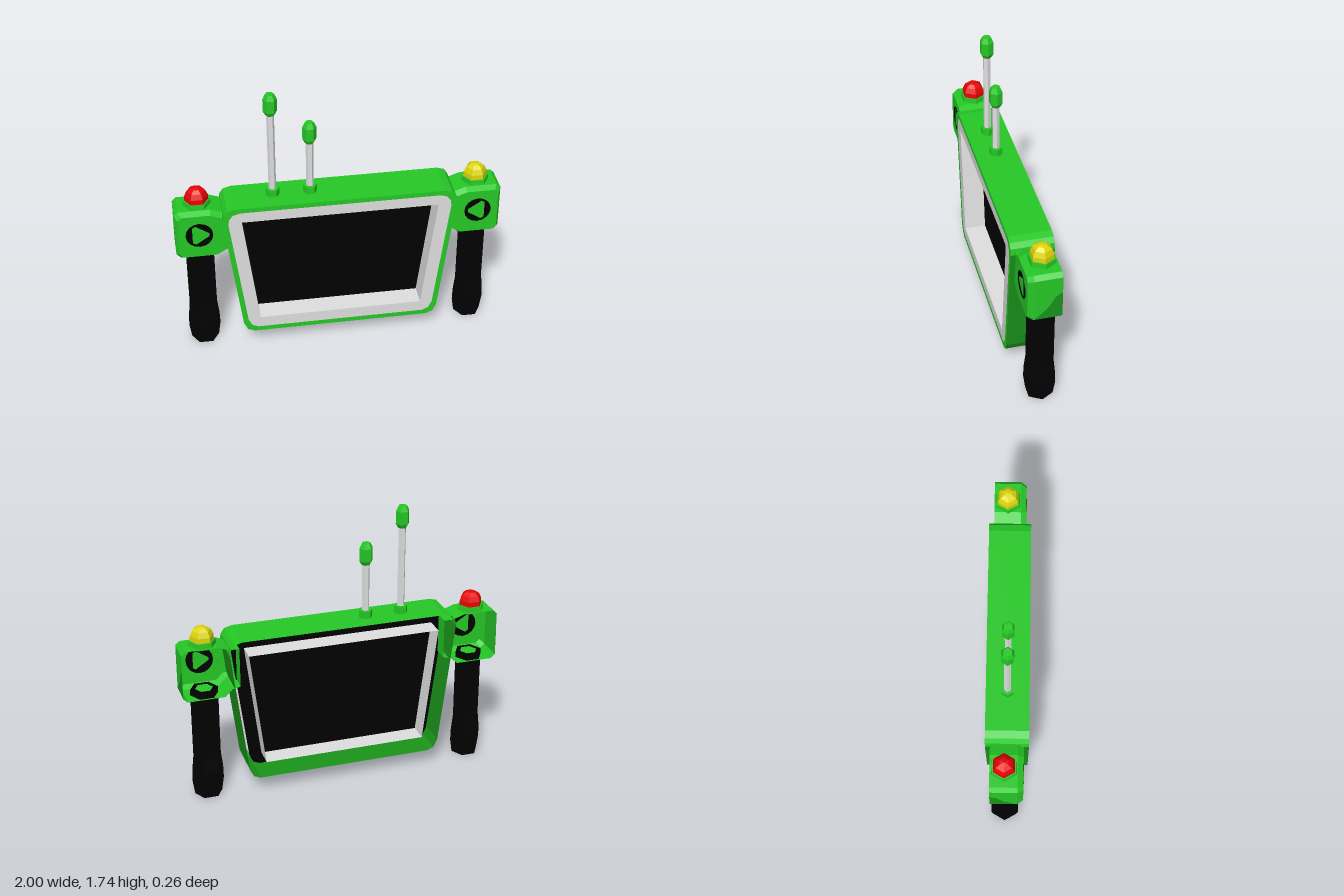
import * as THREE from 'three';

const mat = (name, color, side = THREE.FrontSide) => {
  const m = new THREE.MeshStandardMaterial({ color, side });
  m.name = name;
  return m;
};

// Faceted copy of a geometry
function facet(g) {
  const f = g.index ? g.toNonIndexed() : g;
  f.computeVertexNormals();
  return f;
}

// Skin between counterclockwise loops (or open strips) of [x, y, z], back to front
function loft(loops, { closed = true, capFront = false } = {}) {
  const p = [];
  const n = loops[0].length;
  for (let k = 0; k + 1 < loops.length; k++) {
    for (let i = 0; i < (closed ? n : n - 1); i++) {
      const j = (i + 1) % n, a = loops[k], b = loops[k + 1];
      p.push(...a[i], ...a[j], ...b[j], ...a[i], ...b[j], ...b[i]);
    }
  }
  if (capFront) {
    const l = loops[loops.length - 1];
    for (let i = 1; i + 1 < n; i++) p.push(...l[0], ...l[i], ...l[i + 1]);
  }
  const g = new THREE.BufferGeometry();
  g.setAttribute('position', new THREE.Float32BufferAttribute(p, 3));
  g.computeVertexNormals();
  return g;
}

// Six-sided turned part from [radius, y] points, with corners on the x axis
function hexTurn(points) {
  const g = new THREE.LatheGeometry(points.map(([r, y]) => new THREE.Vector2(r, y)), 6);
  return facet(g.rotateY(Math.PI / 6));
}

const atZ = (pts, z) => pts.map(([x, y]) => [x, y, z]);
const toShape = pts => new THREE.Shape(pts.map(([x, y]) => new THREE.Vector2(x, y)));
const toPath = pts => new THREE.Path(pts.map(([x, y]) => new THREE.Vector2(x, y)));

export function createModel() {
  const root = new THREE.Group();
  root.name = 'handheldConsole';
  const green = mat('green', 0x26c826, THREE.DoubleSide);
  const darkGreen = mat('dark green', 0x1a941a, THREE.DoubleSide);
  const black = mat('black', 0x010101, THREE.DoubleSide);
  const grey = mat('light grey', 0xdfdfdf, THREE.DoubleSide);
  const red = mat('red', 0xe80404);
  const yellow = mat('yellow', 0xdcd60a);

  const add = (parent, name, geo, material, x = 0, y = 0, z = 0) => {
    const m = new THREE.Mesh(geo, material);
    m.name = name;
    m.position.set(x, y, z);
    parent.add(m);
    return m;
  };

  // Rounded trapezoid outline, counterclockwise
  const half = [[0.55, 0.107], [0.592, 0.125], [0.616, 0.175], [0.715, 0.96], [0.708, 1.0],
    [0.685, 1.03], [0.64, 1.043]];
  const outline = [...half, ...half.map(([x, y]) => [-x, y]).reverse()];
  const inset = outline.map(([x, y]) => [x * 0.952, 0.575 + (y - 0.575) * 0.935]);
  const screenPts = [[0.51, 0.21], [0.6, 0.945], [-0.6, 0.945], [-0.51, 0.21]];

  // Thin case, open at the back: top, darker sides and bottom, flat front rim
  const topStrip = outline.slice(3, 11);
  const sideStrip = [...outline.slice(10), ...outline.slice(0, 4)];
  add(root, 'caseTop', loft([atZ(topStrip, -0.13), atZ(topStrip, 0.13)], { closed: false }), green);
  add(root, 'caseSides', loft([atZ(sideStrip, -0.13), atZ(sideStrip, 0.13)], { closed: false }), darkGreen);
  add(root, 'caseRim', loft([atZ(outline, 0.13), atZ(inset, 0.13)]), green);

  // Bezel, and the frame walls running from it through to the back
  const bezel = toShape(inset);
  bezel.holes.push(toPath(screenPts));
  add(root, 'bezel', new THREE.ShapeGeometry(bezel), grey, 0, 0, 0.13);
  add(root, 'screenFrame', loft([atZ(screenPts, -0.13), atZ(screenPts, 0.13)]), grey);

  // Black panel halfway through the case: the screen, seen from both sides
  add(root, 'screenPanel', new THREE.ShapeGeometry(toShape(inset)), black, 0, 0, -0.005);

  // Head outline of the left grip, from the inner end to the outer side
  const head = [[0.65, 0.74], [0.7, 0.73], [0.745, 0.685], [0.975, 0.685], [1, 0.71],
    [1, 0.99], [0.975, 1.015], [0.78, 1.015], [0.71, 0.99], [0.65, 0.99]];
  const headLoop = (s, z) => head.map(([x, y]) => [0.83 + (x - 0.83) * s, 0.855 + (y - 0.855) * s, z]);

  // Dark swept panel on the outer side of the head, as [-z, y]
  const sweep = toShape([[-0.065, 0.712], [0.1, 0.712], [0.1, 0.885], [0.06, 0.86], [0.02, 0.79], [-0.03, 0.74]]);
  const sweepGeo = new THREE.ShapeGeometry(sweep).rotateY(Math.PI / 2);

  // Rounded triangle opening of the button, pointing inwards
  const triangle = [[-0.06, -0.012], [0.022, -0.066], [0.042, -0.054], [0.042, 0.054],
    [0.022, 0.066], [-0.06, 0.012]];
  const buttonShape = new THREE.Shape().absarc(0, 0, 0.083, 0, Math.PI * 2);
  buttonShape.holes.push(toPath(triangle));
  const buttonGeo = new THREE.ExtrudeGeometry(buttonShape, { depth: 0.022, bevelEnabled: false, curveSegments: 8 });

  for (const side of [1, -1]) {
    const grip = new THREE.Group();
    grip.name = side > 0 ? 'leftGrip' : 'rightGrip';
    grip.scale.x = side;
    root.add(grip);

    // Head block, open at the back, with chamfered front edges
    const headLoops = [headLoop(1, -0.1), headLoop(1, 0.065), headLoop(0.88, 0.1)];
    add(grip, 'gripHead', loft(headLoops, { capFront: true }), green);
    add(grip, 'gripHeadSidePanel', sweepGeo, darkGreen, 1.001, 0, 0);

    // Handle with a flared foot
    add(grip, 'handle', hexTurn([[0, 0], [0.086, 0], [0.099, 0.09], [0.097, 0.17], [0.086, 0.27],
      [0.086, 0.72], [0, 0.72]]), black, 0.855, 0, -0.013);
    add(grip, 'handleCap', hexTurn([[0.055, 0], [0, 0.004]]), green, 0.855, 0.722, -0.013);

    // Round button whose opening shows the head behind it
    add(grip, 'button', buttonGeo, black, 0.855, 0.86, 0.08);

    // Signal lamp on a six-sided base
    add(grip, 'lampBase', hexTurn([[0.086, 0], [0.082, 0.04], [0, 0.04]]), green, 0.855, 1.005, -0.015);
    add(grip, 'lamp', hexTurn([[0.073, 0], [0.071, 0.033], [0.056, 0.065], [0.03, 0.083], [0, 0.089]]),
      side > 0 ? yellow : red, 0.855, 1.043, -0.015);
  }

  // Two antennas of different height
  for (const [x, top] of [[-0.397, 1.735], [-0.169, 1.525]]) {
    const antenna = new THREE.Group();
    antenna.name = 'antenna';
    antenna.position.x = x;
    root.add(antenna);
    add(antenna, 'antennaBase', hexTurn([[0.042, 1.035], [0.042, 1.09], [0, 1.09]]), green);
    add(antenna, 'antennaRod', hexTurn([[0.023, 1.08], [0.023, top - 0.12]]), grey);
    add(antenna, 'antennaTip', hexTurn([[0, top - 0.138], [0.027, top - 0.138], [0.042, top - 0.112],
      [0.042, top - 0.032], [0.027, top], [0, top]]), green);
  }
  return root;
}
